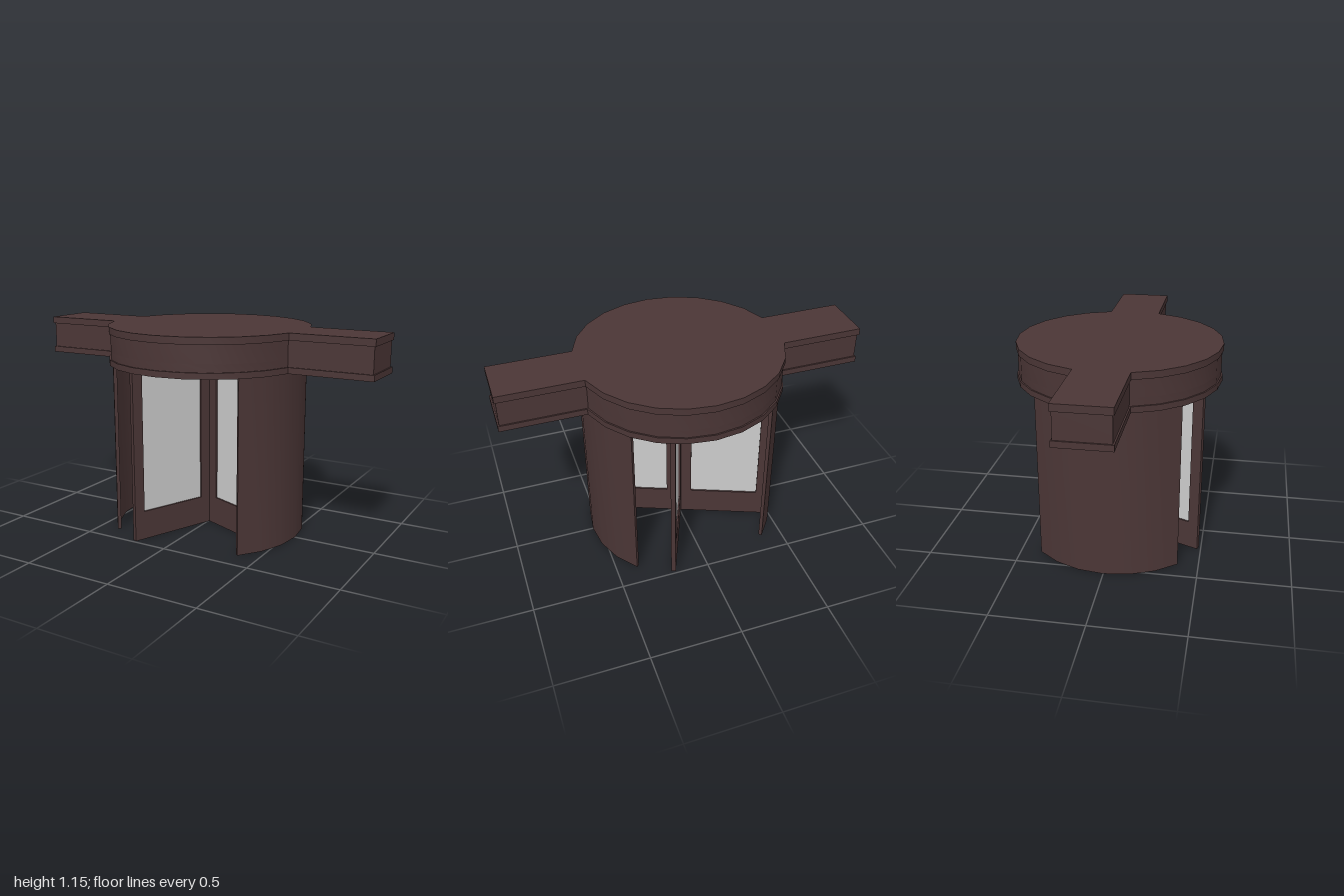
import * as THREE from 'three';
import { toCreasedNormals } from 'three/addons/utils/BufferGeometryUtils.js';

const brown = new THREE.MeshStandardMaterial({ color: 0x4b3636 });
const glassMat = new THREE.MeshStandardMaterial({ color: 0xcccccc, side: THREE.DoubleSide });

const STEP = Math.PI / 12; // 24-sided round parts
const INNER = 0.525, WALL = 0.545, CEILING = 1.02;

const polar = (r, a) => new THREE.Vector2(r * Math.cos(a), r * Math.sin(a));

// Extrudes a plan shape upward from y0 to y1, with smooth curves and sharp edges.
function slab(name, shape, y0, y1) {
  let geo = new THREE.ExtrudeGeometry(shape, { depth: y1 - y0, bevelEnabled: false });
  geo.rotateX(-Math.PI / 2);
  geo.translate(0, y0, 0);
  geo = toCreasedNormals(geo, 0.4);
  const mesh = new THREE.Mesh(geo, brown);
  mesh.name = name;
  return mesh;
}

// Round canopy outline with a straight beam running out to both sides.
function canopyShape(radius, halfWidth, halfLength, hollow) {
  const half = [new THREE.Vector2(halfLength, halfWidth)];
  half.push(new THREE.Vector2(Math.sqrt(radius ** 2 - halfWidth ** 2), halfWidth));
  for (let i = 2; i <= 10; i++) half.push(polar(radius, i * STEP));
  half.push(new THREE.Vector2(-half[1].x, halfWidth), new THREE.Vector2(-halfLength, halfWidth));
  const shape = new THREE.Shape([...half, ...half.map(p => p.clone().negate())]);
  if (hollow) {
    const ring = [];
    for (let i = 0; i < 24; i++) ring.push(polar(INNER, -i * STEP));
    shape.holes.push(new THREE.Path(ring));
  }
  return shape;
}

// Quarter-circle drum wall centred on the given direction.
function wallShape(middle) {
  const outer = [], inner = [];
  for (let i = -3; i <= 3; i++) {
    outer.push(polar(WALL, middle + i * STEP));
    inner.unshift(polar(INNER, middle + i * STEP));
  }
  return new THREE.Shape([...outer, ...inner]);
}

const rect = (Type, x0, y0, x1, y1) => new Type([
  new THREE.Vector2(x0, y0), new THREE.Vector2(x1, y0),
  new THREE.Vector2(x1, y1), new THREE.Vector2(x0, y1),
]);

// One door leaf: a frame with a glazed opening, hinged on the centre axis.
function doorLeaf() {
  const leaf = new THREE.Group();
  leaf.name = 'doorLeaf';
  const x0 = 0.0725, x1 = 0.463, y0 = 0.16, y1 = 0.955, thick = 0.025;
  const shape = rect(THREE.Shape, 0, 0, 0.523, CEILING);
  shape.holes.push(rect(THREE.Path, x0, y0, x1, y1));
  const geo = new THREE.ExtrudeGeometry(shape, { depth: thick, bevelEnabled: false });
  geo.translate(0, 0, -thick / 2);
  const frame = new THREE.Mesh(geo, brown);
  frame.name = 'doorFrame';
  const glass = new THREE.Mesh(new THREE.BoxGeometry(x1 - x0, y1 - y0, 0.006), glassMat);
  glass.position.set((x0 + x1) / 2, (y0 + y1) / 2, 0);
  glass.name = 'doorGlass';
  leaf.add(frame, glass);
  return leaf;
}

export function createModel() {
  const model = new THREE.Group();
  model.name = 'revolvingDoor';

  // Canopy: two projecting lips around a slightly recessed fascia, hollow below the ceiling
  model.add(
    slab('lowerLip', canopyShape(0.563, 0.145, 1, true), 0.945, 0.978),
    slab('lowerFascia', canopyShape(0.555, 0.137, 0.992, true), 0.978, CEILING),
    slab('upperFascia', canopyShape(0.555, 0.137, 0.992, false), CEILING, 1.117),
    slab('upperLip', canopyShape(0.563, 0.145, 1, false), 1.117, 1.155),
  );

  // Curved side walls
  model.add(
    slab('leftWall', wallShape(0), 0, 0.945),
    slab('rightWall', wallShape(Math.PI), 0, 0.945),
  );

  // Four leaves in a cross, turned a little from the entrance axis
  for (let i = 0; i < 4; i++) {
    const leaf = doorLeaf();
    leaf.rotation.y = -Math.PI / 8 - i * Math.PI / 2;
    model.add(leaf);
  }
  return model;
}
